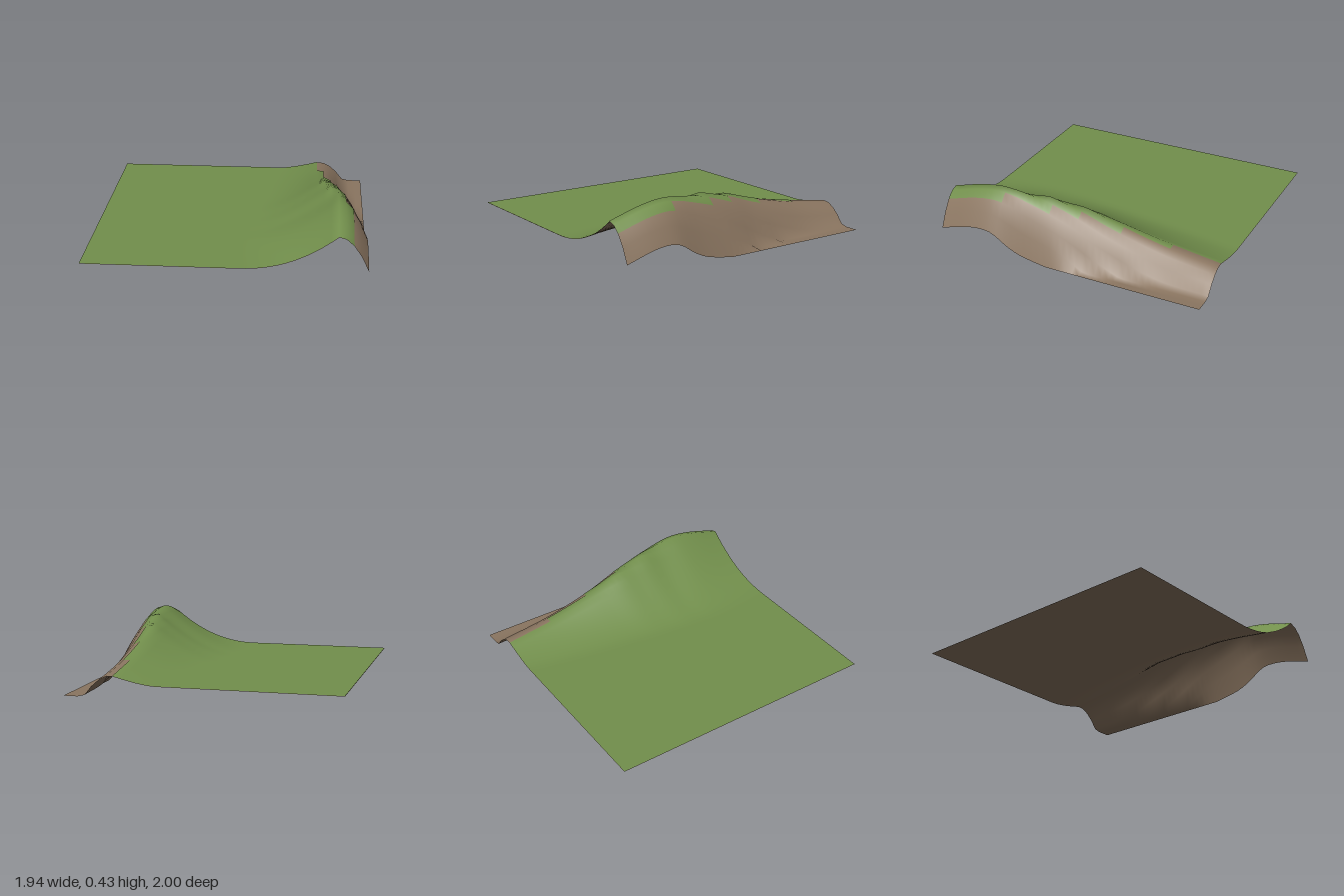
import * as THREE from 'three';

const W = 1.94, COLS = 38, ROWS = 40, MEADOW = 0.093;

// Cross-sections along z: ridge x, ridge height, cliff foot x, slope start x, slope power
const Z = [-1, -0.6, -0.2, 0, 0.12, 0.25, 0.39, 0.48, 0.6, 0.75, 1];
const SECTIONS = [
  0.62, 0.152, 0.825, 0.32, 1.4,
  0.625, 0.215, 0.835, 0.24, 1.5,
  0.64, 0.305, 0.9, 0.18, 1.6,
  0.665, 0.36, 0.945, 0.15, 1.6,
  0.69, 0.382, 0.967, 0.14, 1.6,
  0.715, 0.408, 0.975, 0.12, 1.65,
  0.75, 0.417, 0.984, 0.11, 1.7,
  0.764, 0.427, 0.997, 0.1, 1.7,
  0.766, 0.432, 1.025, 0.1, 1.75,
  0.766, 0.41, 1.03, 0.1, 1.9,
  0.766, 0.34, 1.008, 0.1, 2.2,
];
const sections = new THREE.CubicInterpolant(Z, SECTIONS, 5);

// Ground height: flat meadow, rising slope, then a rounded cliff down to zero
function height(x, z) {
  const [ridge, top, foot, start, power] = sections.evaluate(z);
  if (x <= ridge) {
    const t = Math.max(0, (x - start) / (ridge - start));
    return MEADOW + (top - MEADOW) * Math.pow(t, power);
  }
  const u = Math.min(1, (x - ridge) / (foot - ridge));
  return top * (1 - u * u);
}

// Number of grass columns in a row; the edge steps outward toward the front
function grassColumns(z) {
  return 31 + [-0.65, -0.3, 0, 0.2, 0.55].filter((s) => z > s).length;
}

// Height-field sheet; keep(column, z) chooses which cells are covered
function sheet(lift, keep) {
  const geo = new THREE.PlaneGeometry(W, 2, COLS, ROWS).rotateX(-Math.PI / 2);
  const p = geo.attributes.position;
  for (let i = 0; i < p.count; i++) p.setY(i, height(p.getX(i), p.getZ(i)) + lift);
  geo.computeVertexNormals();
  const cells = geo.index.array, index = [];
  for (let r = 0; r < ROWS; r++) {
    const z = -1 + ((r + 0.5) * 2) / ROWS;
    for (let c = 0; c < COLS; c++) {
      const k = (r * COLS + c) * 6;
      if (keep(c, z)) index.push(...cells.subarray(k, k + 6));
    }
  }
  geo.setIndex(index);
  return geo;
}

export function createModel() {
  const group = new THREE.Group();
  group.name = 'hillside';

  // Rock forms the whole underside and the exposed cliff
  const rock = new THREE.Mesh(
    sheet(0, () => true),
    new THREE.MeshStandardMaterial({ color: 0x8a7560, side: THREE.DoubleSide })
  );
  rock.name = 'rockCliff';

  // Thin grass layer over the meadow and the crest
  const grass = new THREE.Mesh(
    sheet(0.003, (c, z) => c < grassColumns(z)),
    new THREE.MeshStandardMaterial({ color: 0x728f4c })
  );
  grass.name = 'grassCover';

  group.add(rock, grass);
  return group;
}
